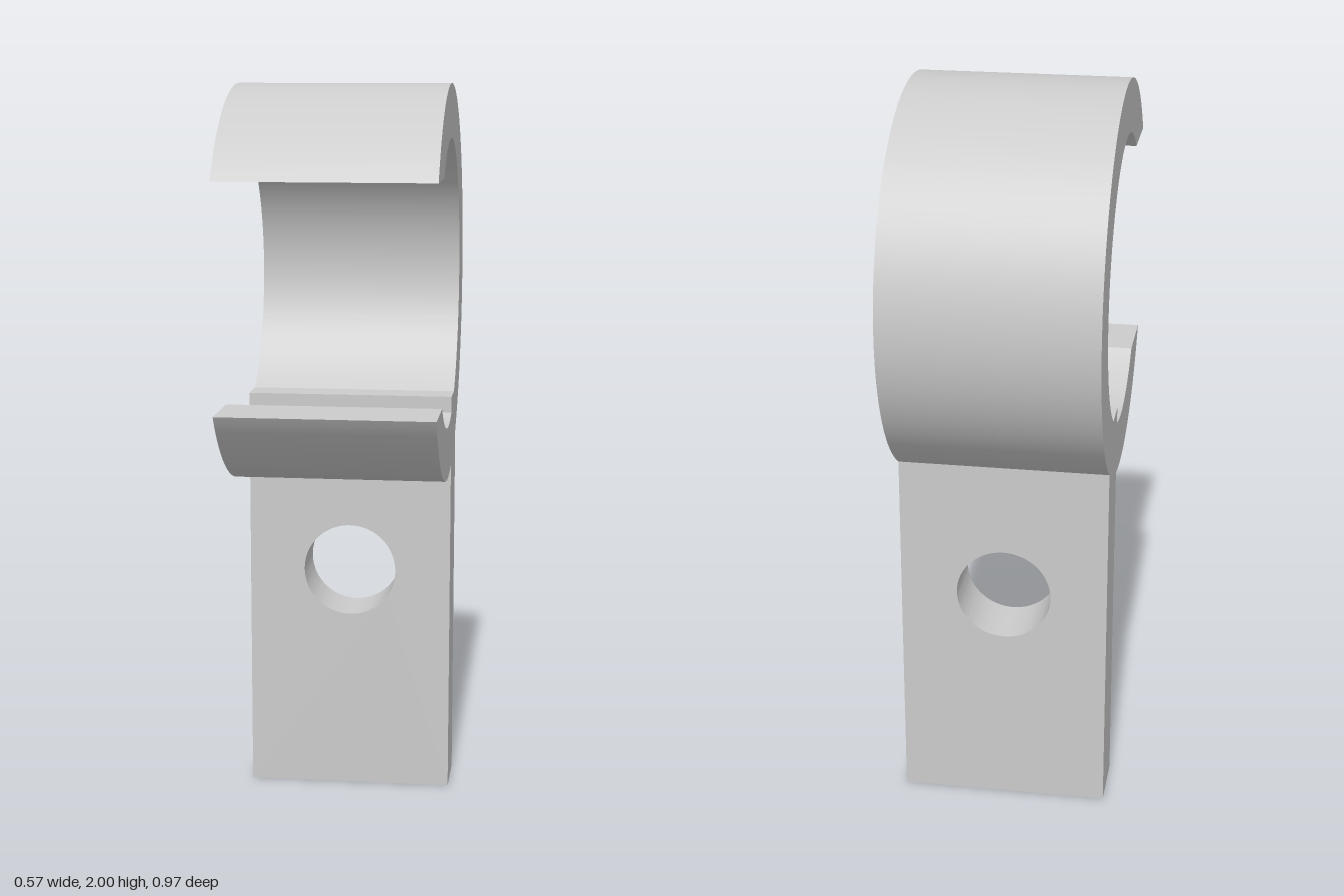
import * as THREE from 'three';
import { toCreasedNormals } from 'three/addons/utils/BufferGeometryUtils.js';

const WIDTH = 0.57;
const CY = 1.4675, CZ = 0.045;          // ring centre
const RO = 0.5325, RI = 0.389;          // ring radii
const GAP = 0.297;                      // half height of the mouth
const FRONT = -0.07, BACK = -0.24;      // faces of the mounting plate
const JOIN = 0.92, LEDGE = 1.14;        // plate meets clip, top of inner ledge

function extrude(shape, depth, curveSegments) {
  const g = new THREE.ExtrudeGeometry(shape, { depth, curveSegments, bevelEnabled: false });
  g.translate(0, 0, -depth / 2);
  return toCreasedNormals(g, 0.4);
}

// Angle on the lower back quarter of a circle where it reaches a given z
const lowerAngle = (z, r) => 2 * Math.PI - Math.acos((z - CZ) / r);

export function createModel() {
  const group = new THREE.Group();
  const material = new THREE.MeshStandardMaterial({ color: 0xcccccc });
  const add = (name, geometry) => {
    const mesh = new THREE.Mesh(geometry, material);
    mesh.name = name;
    group.add(mesh);
    return mesh;
  };

  // Open ring with the stub of the plate and its inner ledge, drawn in z-y
  const outer = Math.asin(GAP / RO), inner = Math.asin(GAP / RI);
  const ledge = Math.PI + Math.asin((CY - LEDGE) / RI);
  const profile = new THREE.Shape();
  profile.absarc(CZ, CY, RO, outer, lowerAngle(BACK, RO), false);
  profile.lineTo(BACK, JOIN);
  profile.lineTo(FRONT, JOIN);
  profile.absarc(CZ, CY, RO, lowerAngle(FRONT, RO), 2 * Math.PI - outer, false);
  profile.absarc(CZ, CY, RI, 2 * Math.PI - inner, lowerAngle(FRONT, RI), true);
  profile.lineTo(FRONT, LEDGE);
  profile.absarc(CZ, CY, RI, ledge, inner, true);
  profile.closePath();
  add('clipRing', extrude(profile, WIDTH, 64).rotateY(-Math.PI / 2));

  // Mounting plate with its screw hole
  const plate = new THREE.Shape();
  plate.moveTo(-WIDTH / 2, 0);
  plate.lineTo(WIDTH / 2, 0);
  plate.lineTo(WIDTH / 2, JOIN);
  plate.lineTo(-WIDTH / 2, JOIN);
  plate.closePath();
  const hole = new THREE.Path();
  hole.absarc(0, 0.635, 0.13, 0, Math.PI * 2, true);
  plate.holes.push(hole);
  add('mountingPlate', extrude(plate, FRONT - BACK, 48)).position.z = (FRONT + BACK) / 2;

  return group;
}
